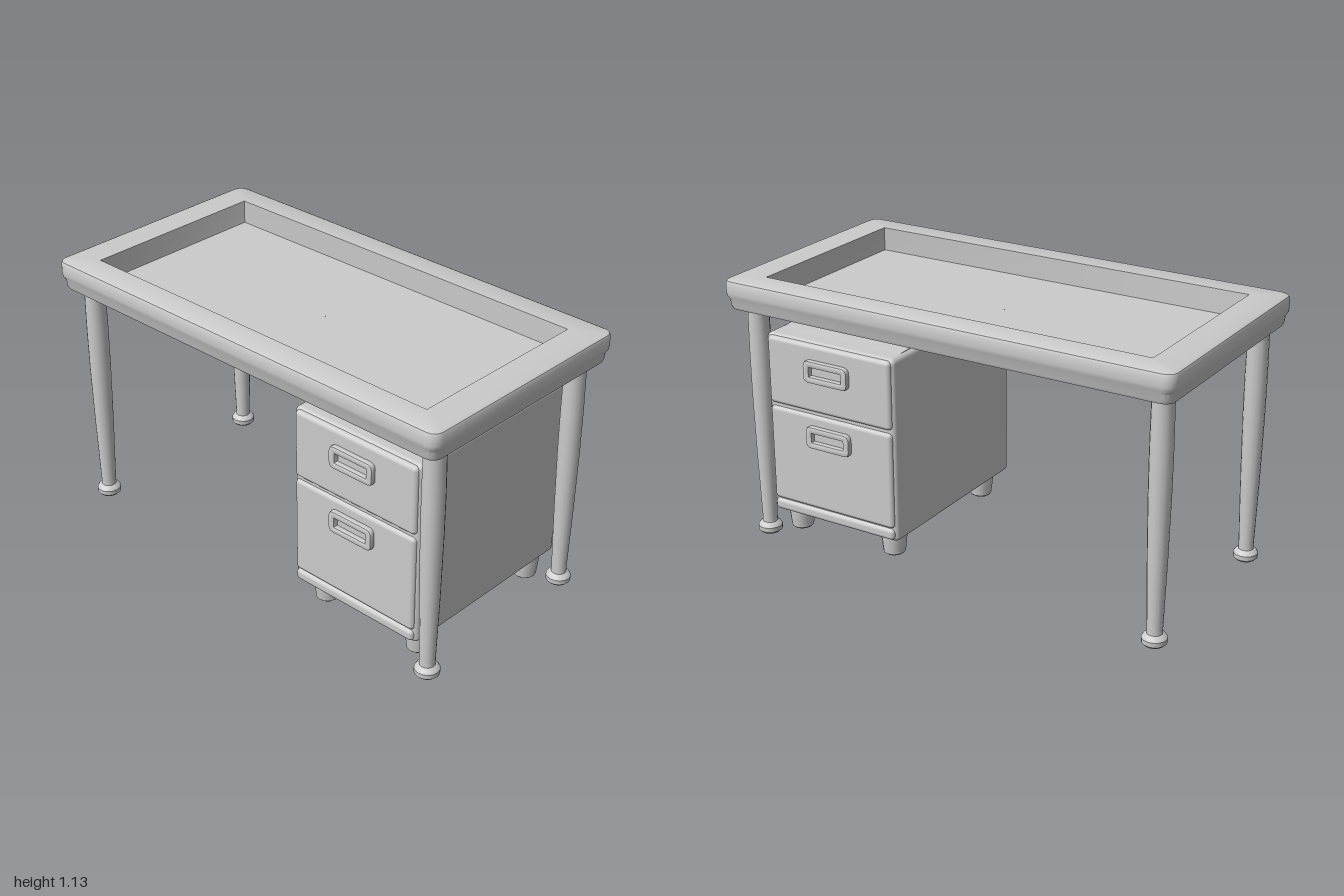
import * as THREE from 'three';
import { toCreasedNormals } from 'three/addons/utils/BufferGeometryUtils.js';
import { RoundedBoxGeometry } from 'three/addons/geometries/RoundedBoxGeometry.js';

const material = new THREE.MeshStandardMaterial({ color: 0xcccccc });

function add(parent, name, geometry, x = 0, y = 0, z = 0) {
  const mesh = new THREE.Mesh(geometry, material);
  mesh.name = name;
  mesh.position.set(x, y, z);
  parent.add(mesh);
  return mesh;
}

// Skin through rounded-rectangle rings: [half width, half depth, corner radius, height]
function loftRings(rings, perCorner = 5) {
  const positions = [], indices = [], n = perCorner * 4;
  for (const [hx, hz, r, y] of rings) {
    for (let c = 0; c < 4; c++) {
      const sx = c === 0 || c === 3 ? 1 : -1, sz = c < 2 ? 1 : -1;
      for (let k = 0; k < perCorner; k++) {
        const a = (c + k / (perCorner - 1)) * Math.PI / 2;
        positions.push(sx * (hx - r) + r * Math.cos(a), y, sz * (hz - r) + r * Math.sin(a));
      }
    }
  }
  for (let i = 0; i < rings.length - 1; i++) {
    for (let j = 0; j < n; j++) {
      const a = i * n + j, b = i * n + (j + 1) % n;
      indices.push(a, a + n, b, b, a + n, b + n);
    }
  }
  const geometry = new THREE.BufferGeometry();
  geometry.setAttribute('position', new THREE.Float32BufferAttribute(positions, 3));
  geometry.setIndex(indices);
  return toCreasedNormals(geometry, 0.6);
}

function lathe(points, segments) {
  const profile = points.map(([r, y]) => new THREE.Vector2(r, y));
  return toCreasedNormals(new THREE.LatheGeometry(profile, segments), 0.6);
}

function roundedRect(target, w, h, r) {
  const x = w / 2, y = h / 2;
  target.moveTo(-x + r, -y);
  target.lineTo(x - r, -y);
  target.quadraticCurveTo(x, -y, x, -y + r);
  target.lineTo(x, y - r);
  target.quadraticCurveTo(x, y, x - r, y);
  target.lineTo(-x + r, y);
  target.quadraticCurveTo(-x, y, -x, y - r);
  target.lineTo(-x, -y + r);
  target.quadraticCurveTo(-x, -y, -x + r, -y);
  return target;
}

function handleGeometry() {
  const shape = roundedRect(new THREE.Shape(), 0.2, 0.08, 0.018);
  shape.holes.push(roundedRect(new THREE.Path(), 0.168, 0.052, 0.006));
  return toCreasedNormals(new THREE.ExtrudeGeometry(shape, {
    depth: 0.02, bevelEnabled: true, bevelThickness: 0.007, bevelSize: 0.007, bevelSegments: 2, curveSegments: 4,
  }), 0.6);
}

export function createModel() {
  const desk = new THREE.Group();
  desk.name = 'desk';

  // Table top: underside, stepped rim, flat border and sunken tray
  add(desk, 'tableTop', loftRings([
    [0.001, 0.001, 0.0005, 1.0],
    [0.965, 0.485, 0.03, 1.0],
    [0.982, 0.502, 0.04, 1.007],
    [0.988, 0.508, 0.045, 1.02],
    [0.99, 0.51, 0.045, 1.045],
    [0.998, 0.518, 0.045, 1.06],
    [1.0, 0.52, 0.045, 1.075],
    [1.0, 0.52, 0.045, 1.112],
    [0.995, 0.515, 0.04, 1.124],
    [0.983, 0.503, 0.035, 1.13],
    [0.862, 0.405, 0.001, 1.13],
    [0.862, 0.405, 0.001, 1.03],
    [0.001, 0.001, 0.0005, 1.03],
  ]));

  // Four tapered legs with rounded feet
  const leg = lathe([
    [0, 0], [0.04, 0], [0.05, 0.01], [0.051, 0.03], [0.043, 0.042], [0.031, 0.048],
    [0.031, 0.07], [0.039, 0.35], [0.044, 0.62], [0.045, 0.8], [0.043, 1.01],
  ], 16);
  for (const x of [-0.91, 0.91]) {
    for (const z of [-0.408, 0.408]) add(desk, 'leg', leg, x, 0, z);
  }

  // Drawer cabinet with a gently domed top
  const cabinet = new THREE.Group();
  cabinet.name = 'cabinet';
  cabinet.position.x = 0.553;
  desk.add(cabinet);
  add(cabinet, 'cabinetBody', new RoundedBoxGeometry(0.625, 0.785, 0.85, 3, 0.022), 0, 0.512, 0);
  const dome = new THREE.Shape();
  dome.moveTo(-0.4, 0);
  dome.quadraticCurveTo(0, 0.022, 0.4, 0);
  const domeGeometry = new THREE.ExtrudeGeometry(dome, { depth: 0.585, bevelEnabled: false });
  domeGeometry.translate(0, 0, -0.2925).rotateY(Math.PI / 2);
  add(cabinet, 'cabinetTop', domeGeometry, 0, 0.902, 0);

  // Drawers on the front, repeated on the back
  const handle = handleGeometry();
  for (const turn of [0, Math.PI]) {
    const face = new THREE.Group();
    face.name = turn ? 'backDrawers' : 'frontDrawers';
    face.rotation.y = turn;
    cabinet.add(face);
    add(face, 'upperDrawer', new RoundedBoxGeometry(0.6, 0.29, 0.06, 3, 0.018), 0, 0.752, 0.408);
    add(face, 'lowerDrawer', new RoundedBoxGeometry(0.6, 0.415, 0.06, 3, 0.018), 0, 0.387, 0.408);
    add(face, 'bottomLip', new RoundedBoxGeometry(0.6, 0.05, 0.06, 3, 0.018), 0, 0.153, 0.408);
    for (const y of [0.788, 0.503]) add(face, 'handle', handle, 0, y, 0.432);
  }

  // Stubby cabinet feet
  const foot = lathe([
    [0, 0.02], [0.038, 0.02], [0.046, 0.027], [0.049, 0.05], [0.054, 0.1], [0.055, 0.13],
  ], 12);
  for (const x of [-0.228, 0.245]) {
    for (const z of [-0.33, 0.33]) add(cabinet, 'cabinetFoot', foot, x, 0, z);
  }

  return desk;
}
